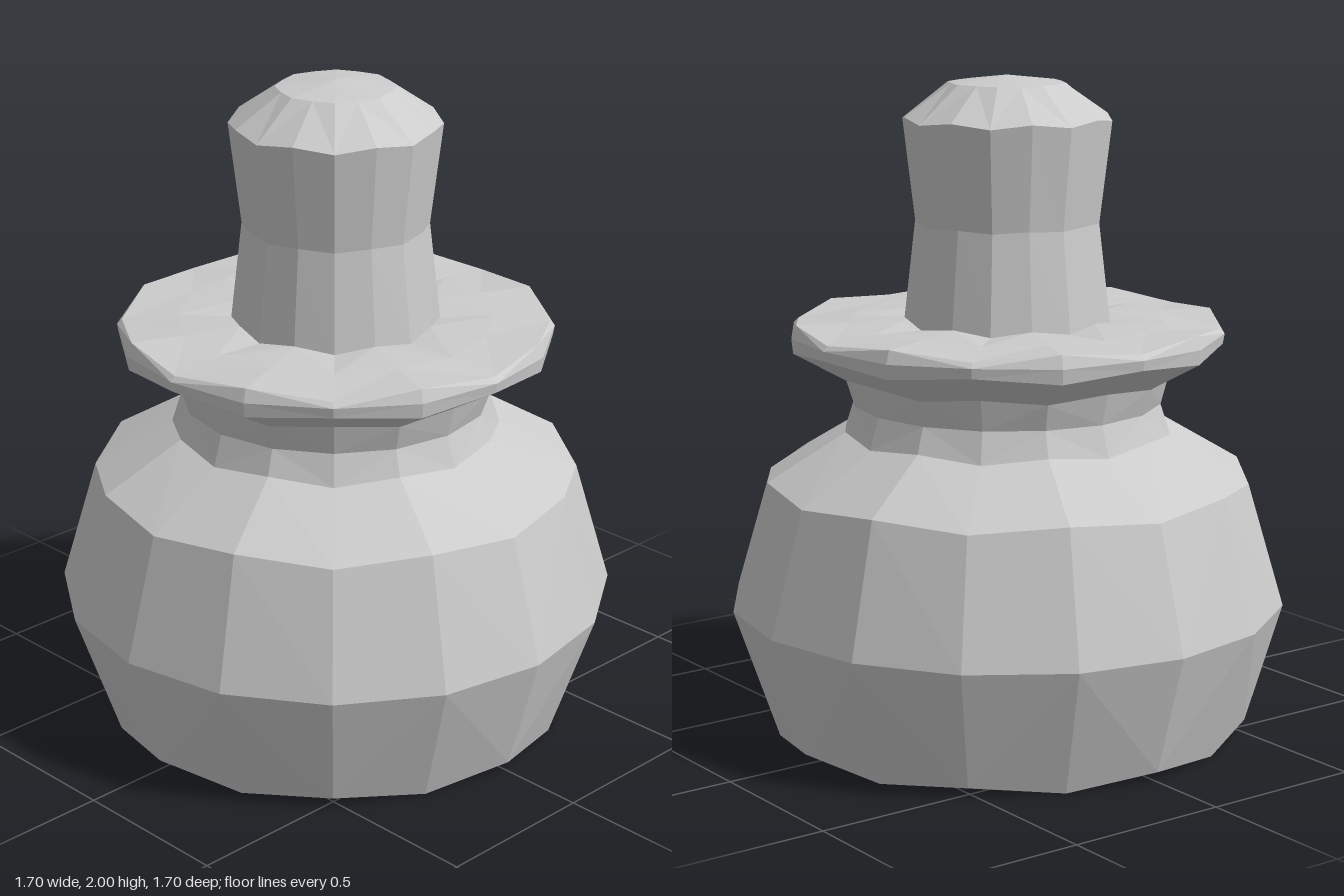
import * as THREE from 'three';

const SIDES = 16;

// Faceted solid of revolution. Each ring is [evenRadius, evenY, oddRadius, oddY],
// so neighbouring corners can alternate slightly, as in hand-cut facets.
function facetedPart(name, rings) {
  const positions = [];
  const index = [];
  for (const [evenR, evenY, oddR, oddY] of rings) {
    for (let i = 0; i < SIDES; i++) {
      const a = (i / SIDES) * Math.PI * 2;
      const r = i % 2 ? oddR : evenR;
      positions.push(Math.sin(a) * r, i % 2 ? oddY : evenY, Math.cos(a) * r);
    }
  }
  for (let j = 0; j < rings.length - 1; j++) {
    const closedBelow = rings[j][0] === 0;
    const closedAbove = rings[j + 1][0] === 0;
    for (let i = 0; i < SIDES; i++) {
      const k = (i + 1) % SIDES;
      const a = j * SIDES + i, b = j * SIDES + k;
      const c = a + SIDES, d = b + SIDES;
      if (closedBelow) index.push(a, d, c);
      else if (closedAbove) index.push(a, b, c);
      // Alternate the diagonal to keep the facets symmetric
      else if (i % 2) index.push(a, b, c, b, d, c);
      else index.push(a, b, d, a, d, c);
    }
  }
  const geometry = new THREE.BufferGeometry();
  geometry.setAttribute('position', new THREE.Float32BufferAttribute(positions, 3));
  geometry.setIndex(index);
  geometry.computeVertexNormals();
  const material = new THREE.MeshStandardMaterial({ color: 0xcccccc, flatShading: true });
  const mesh = new THREE.Mesh(geometry, material);
  mesh.name = name;
  return mesh;
}

export function createModel() {
  const group = new THREE.Group();
  group.name = 'stopperedPot';

  // Round belly with an octagonal foot and a narrow neck
  group.add(facetedPart('pot', [
    [0, 0, 0, 0],
    [0.66, 0, 0.714, 0],
    [0.74, 0.03, 0.714, 0],
    [0.85, 0.4, 0.85, 0.4],
    [0.74, 0.775, 0.74, 0.795],
    [0.5, 0.92, 0.5, 0.938],
    [0.47, 1.015, 0.47, 1.015],
    [0.495, 1.11, 0.495, 1.095],
  ]));

  // Flared lid with a thin rim
  group.add(facetedPart('lid', [
    [0.495, 1.11, 0.495, 1.095],
    [0.655, 1.205, 0.655, 1.185],
    [0.66, 1.235, 0.66, 1.23],
    [0.645, 1.25, 0.645, 1.27],
    [0.48, 1.265, 0.48, 1.27],
    [0.31, 1.26, 0.305, 1.275],
  ]));

  // Waisted grip with a domed top
  group.add(facetedPart('handle', [
    [0.315, 1.255, 0.308, 1.275],
    [0.28, 1.56, 0.276, 1.565],
    [0.317, 1.867, 0.312, 1.88],
    [0.178, 1.978, 0.17, 1.978],
    [0, 2, 0, 2],
  ]));

  return group;
}
